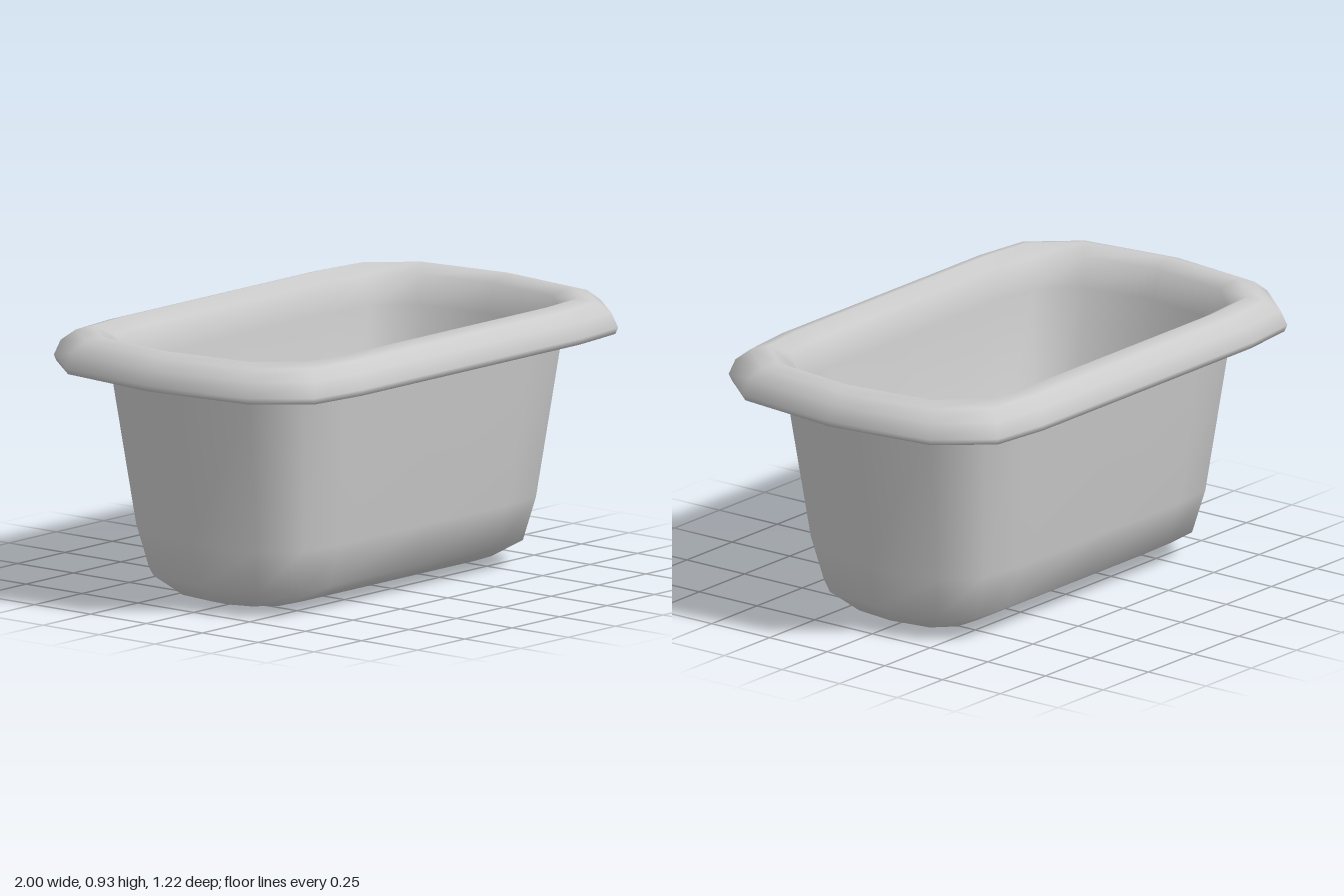
import * as THREE from 'three';
import { mergeVertices } from 'three/addons/utils/BufferGeometryUtils.js';

// One quadrant of the chamfered oblong outline, as fractions of half length and half width
const QUADRANT = [[1, 0], [0.95, 0.665], [0.8, 0.957], [0.58, 1], [0, 1]];

// Mirror the quadrant into a closed loop running from +x towards +z.
// A chamfer below 1 draws the corners in tighter along x.
function outline(chamfer) {
  const quadrant = QUADRANT.map(([x, z]) => [x > 0 ? 1 - (1 - x) * chamfer : 0, z]);
  const half = [...quadrant, ...quadrant.slice(0, -1).reverse().map(([x, z]) => [-x, z])];
  return [...half, ...half.slice(1, -1).reverse().map(([x, z]) => [x, -z])];
}

// Skin a stack of oblong sections [half length, half width, height, chamfer]
function loft(sections) {
  const n = outline(1).length, pos = [], index = [];
  for (const [a, b, y, chamfer = 1] of sections) {
    for (const [x, z] of outline(chamfer)) pos.push(a * x, y, b * z);
  }
  for (let i = 0; i < sections.length - 1; i++) {
    for (let j = 0; j < n; j++) {
      const k = (j + 1) % n;
      const p = i * n + j, q = i * n + k, r = p + n, s = q + n;
      index.push(p, r, q, q, r, s);
    }
  }
  const geo = new THREE.BufferGeometry();
  geo.setAttribute('position', new THREE.Float32BufferAttribute(pos, 3));
  geo.setIndex(index);
  // Weld the two sides of the floor ridges so the whole skin shades smoothly
  const welded = mergeVertices(geo);
  welded.computeVertexNormals();
  return welded;
}

export function createModel() {
  const group = new THREE.Group();
  group.name = 'planter';
  const material = new THREE.MeshStandardMaterial({ color: 0xcccccc, side: THREE.DoubleSide });

  // Outer wall, from the keel under the floor up to the rim
  const outerWall = [
    [0.57, 0, 0, 0.6], [0.65, 0.23, 0.022, 0.7], [0.72, 0.35, 0.088, 0.9],
    [0.765, 0.392, 0.24], [0.855, 0.453, 0.81],
  ];
  // Rolled rim: hollow underside, thin lip, then over the rounded top
  const rim = [
    [0.868, 0.466, 0.865], [0.905, 0.507, 0.897], [0.945, 0.553, 0.875], [0.976, 0.588, 0.82],
    [0.99, 0.603, 0.806], [1, 0.61, 0.828], [0.98, 0.592, 0.88],
    [0.94, 0.55, 0.916], [0.89, 0.5, 0.93],
  ];
  // Inner wall, back down to the rounded floor
  const innerWall = [
    [0.835, 0.445, 0.9], [0.803, 0.412, 0.8], [0.735, 0.362, 0.26],
    [0.625, 0.205, 0.045, 0.7], [0.55, 0, 0.032, 0.6],
  ];

  // A single continuous skin keeps the shading smooth through the rim
  const trough = new THREE.Mesh(loft([...outerWall, ...rim, ...innerWall]), material);
  trough.name = 'trough';
  group.add(trough);
  return group;
}
